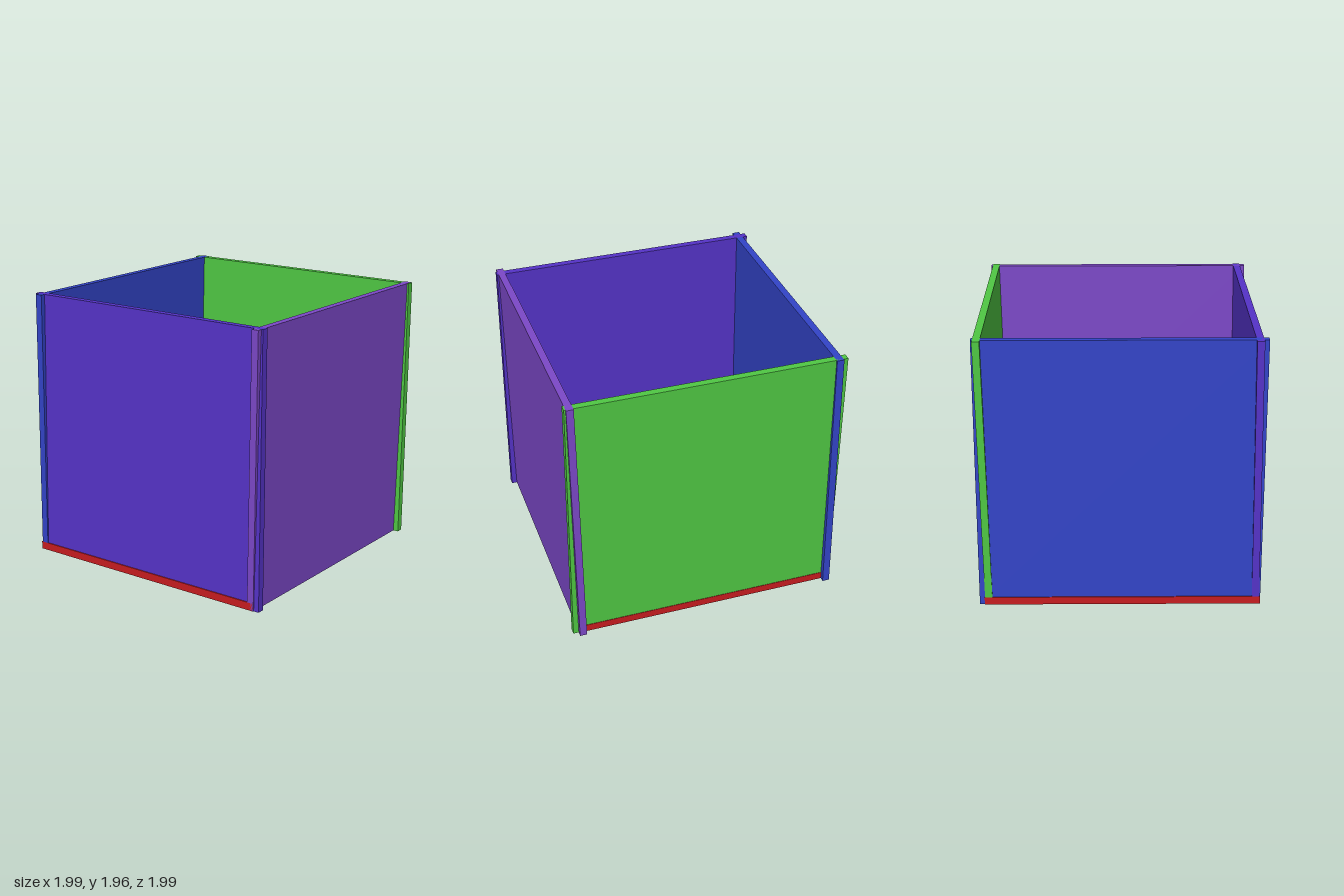
import * as THREE from 'three';

const H = 1.96;     // wall height
const T = 0.052;    // board thickness
const LEAN = 0.028; // sideways drift of a wall from bottom to top
const SPAN = 1.994; // wall length

function board(name, color, w, h, d) {
  const mesh = new THREE.Mesh(
    new THREE.BoxGeometry(w, h, d).translate(0, h / 2, 0),
    new THREE.MeshStandardMaterial({ color, flatShading: true })
  );
  mesh.name = name;
  return mesh;
}

// Upright board that leans along its thickness axis; base is its centre at the floor
function wall(name, color, axis, base, lean) {
  const alongX = axis === 'x';
  const mesh = board(name, color, alongX ? T : SPAN, H, alongX ? SPAN : T);
  const shear = new THREE.Matrix4();
  shear.elements[alongX ? 4 : 6] = lean / H;
  mesh.geometry.applyMatrix4(shear);
  mesh.geometry.computeVertexNormals();
  mesh.position[axis] = base;
  return mesh;
}

export function createModel() {
  const box = new THREE.Group();
  box.name = 'openBox';

  // Floor board, set slightly toward the front left corner
  const floor = board('floor', 0xc81c20, 1.953, 0.056, 1.959);
  floor.position.set(-0.021, 0, 0.0175);
  box.add(floor);

  // Four overlapping walls whose ends stick out at the corners
  box.add(
    wall('leftSideWall', 0x7c48c8, 'x', 0.931, LEAN),
    wall('rightSideWall', 0x3344c8, 'x', -0.965, LEAN),
    wall('frontWall', 0x5533c8, 'z', 0.964, -LEAN),
    wall('backWall', 0x50c844, 'z', -0.932, -LEAN)
  );
  return box;
}
